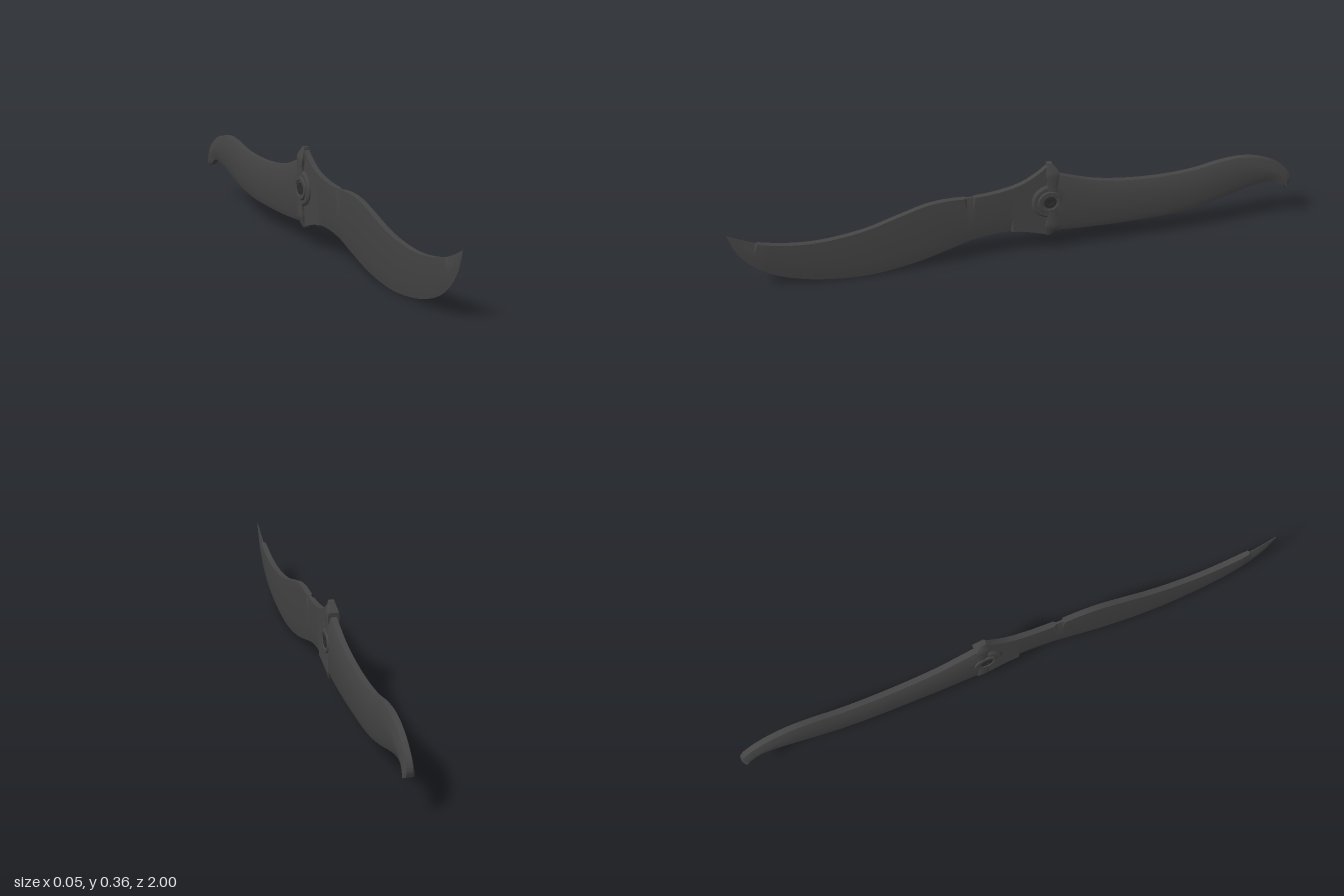
import * as THREE from 'three';
import { toCreasedNormals } from 'three/addons/utils/BufferGeometryUtils.js';

const steel = new THREE.MeshStandardMaterial({ color: 0x444444 });
const dark = new THREE.MeshStandardMaterial({ color: 0x2c2c2c });

// Lofts a mirrored section between two edge curves. Each row is [zA, yA, zB, yB];
// section(a, b) returns [edgeHalfA, insetA, halfWidth, insetB, edgeHalfB].
function loft(rows, steps, section, smooth = true) {
  const edge = (k) => rows.map((r) => new THREE.Vector3(0, r[k + 1], r[k]));
  const make = (p) => {
    if (smooth) return new THREE.CatmullRomCurve3(p);
    const path = new THREE.CurvePath();
    for (let i = 1; i < p.length; i++) path.add(new THREE.LineCurve3(p[i - 1], p[i]));
    return path;
  };
  const curveA = make(edge(0)), curveB = make(edge(2));
  const pos = [], idx = [], n = 8;
  for (let i = 0; i <= steps; i++) {
    const a = curveA.getPoint(i / steps), b = curveB.getPoint(i / steps);
    const len = Math.max(a.distanceTo(b), 1e-6);
    const [ea, ia, w, ib, eb] = section(a, b);
    const ta = Math.min(ia / len, 0.45), tb = 1 - Math.min(ib / len, 0.45);
    const half = [[0, ea], [ta, w], [tb, w], [1, eb]];
    const ring = [...half, ...half.slice().reverse().map(([t, x]) => [t, -x])];
    for (const [t, x] of ring) {
      const p = a.clone().lerp(b, t);
      pos.push(x, p.y, p.z);
    }
  }
  for (let i = 0; i < steps; i++) {
    for (let j = 0; j < n; j++) {
      const p = i * n + j, q = i * n + (j + 1) % n;
      idx.push(p, q, q + n, p, q + n, p + n);
    }
  }
  const last = steps * n;
  for (let j = 1; j < n - 1; j++) idx.push(0, j + 1, j, last, last + j, last + j + 1);
  // keep faces pointing outward whichever way the rows run
  const v = (k) => new THREE.Vector3().fromArray(pos, idx[k] * 3);
  let volume = 0;
  for (let k = 0; k < idx.length; k += 3) volume += v(k).dot(v(k + 1).cross(v(k + 2)));
  if (volume < 0) idx.reverse();
  const g = new THREE.BufferGeometry();
  g.setAttribute('position', new THREE.Float32BufferAttribute(pos, 3));
  g.setIndex(idx);
  return toCreasedNormals(g, 0.4);
}

export function createModel() {
  const model = new THREE.Group();
  const add = (name, geometry, material = steel) => {
    const m = new THREE.Mesh(geometry, material);
    m.name = name;
    model.add(m);
    return m;
  };

  // Blade: lower edge, then spine, from tang to tip
  const bladeRows = [
    [-0.11, 0.07, -0.11, 0.355], [-0.06, 0.086, -0.07, 0.322],
    [0, 0.1, -0.01, 0.288], [0.08, 0.1, 0.07, 0.268],
    [0.16, 0.088, 0.16, 0.26], [0.25, 0.06, 0.25, 0.261],
    [0.35, 0.03, 0.32, 0.253], [0.45, 0.01, 0.42, 0.223],
    [0.55, 0.001, 0.52, 0.191], [0.65, 0.006, 0.62, 0.172],
    [0.75, 0.022, 0.72, 0.165], [0.85, 0.055, 0.82, 0.173],
    [0.92, 0.1, 0.9, 0.191], [0.97, 0.16, 0.96, 0.215],
    [1, 0.235, 1, 0.235],
  ];
  add('blade', loft(bladeRows, 168, (a, b) => {
    const sharp = a.z > 0.02;                       // cutting bevel starts past the tang
    const notch = b.z > 0.155 && b.z < 0.185;       // thumb notch in the spine
    const swedge = b.z > 0.9;                       // thinned spine near the tip
    const w = 0.01 * Math.min(1, 0.15 + (1 - a.z) * 8);
    return [sharp ? 0.0005 : w, sharp ? 0.055 : 0.01, w,
      notch || swedge ? 0.045 : 0.008, notch ? 0.004 : swedge ? 0.001 : w];
  }));

  // Handle: belly, then back, from guard to hooked butt
  const handleRows = [
    [-0.1, 0.092, -0.1, 0.322], [-0.16, 0.086, -0.16, 0.302],
    [-0.28, 0.081, -0.27, 0.268], [-0.42, 0.082, -0.4, 0.25],
    [-0.55, 0.088, -0.53, 0.247], [-0.65, 0.103, -0.64, 0.256],
    [-0.74, 0.126, -0.73, 0.274], [-0.81, 0.148, -0.81, 0.28],
    [-0.87, 0.164, -0.88, 0.268], [-0.92, 0.168, -0.945, 0.238],
    [-0.95, 0.157, -0.985, 0.203], [-0.963, 0.146, -0.999, 0.17],
    [-0.978, 0.138, -0.994, 0.147],
  ];
  add('handle', loft(handleRows, 96, () => [0.01, 0.03, 0.019, 0.03, 0.01]));

  // Guard: thick upright strip tapering at both ends
  const guardRows = [
    [-0.1, 0.07, -0.118, 0.07], [-0.095, 0.11, -0.142, 0.1],
    [-0.105, 0.16, -0.135, 0.16], [-0.105, 0.26, -0.135, 0.26],
    [-0.095, 0.315, -0.142, 0.325], [-0.1, 0.357, -0.118, 0.357],
  ];
  add('guard', loft(guardRows, 30, (a) => {
    const w = 0.0215 - 0.0115 * THREE.MathUtils.clamp((Math.abs(a.y - 0.2125) - 0.1) / 0.044, 0, 1);
    return [w - 0.002, 0.006, w, 0.006, w - 0.002];
  }, false));

  // Pivot: stepped boss with a recessed screw on each side
  const boss = [[0.063, 0], [0.063, 0.014], [0.056, 0.0195], [0.043, 0.0195], [0.04, 0.0245], [0.03, 0.0245], [0.028, 0.0215], [0, 0.0215]];
  const screw = [[0.023, 0.021], [0.022, 0.0235], [0.011, 0.024], [0.009, 0.022], [0, 0.022]];
  const turned = (pts) => toCreasedNormals(
    new THREE.LatheGeometry(pts.map(([r, h]) => new THREE.Vector2(r, h)), 36), 0.4);
  for (const side of [1, -1]) {
    const label = side > 0 ? 'left' : 'right';
    for (const [name, pts, mat] of [['PivotBoss', boss, steel], ['PivotScrew', screw, dark]]) {
      const m = add(label + name, turned(pts), mat);
      m.material = mat.clone();
      m.material.side = THREE.DoubleSide;
      m.rotation.z = -side * Math.PI / 2;
      m.position.set(0, 0.21, -0.108);
    }
  }
  return model;
}
